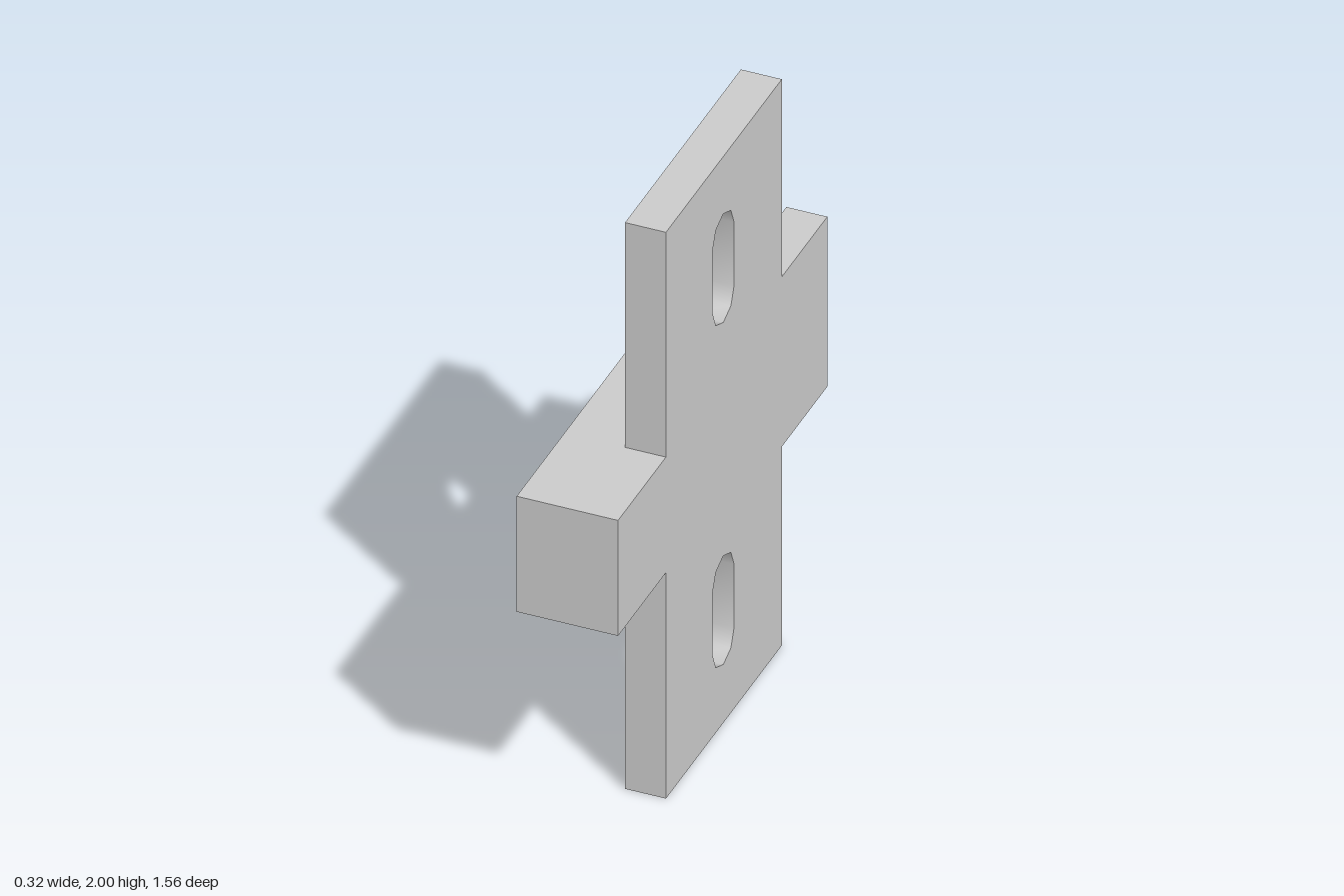
import * as THREE from 'three';
import { toCreasedNormals } from 'three/addons/utils/BufferGeometryUtils.js';

const material = new THREE.MeshStandardMaterial({ color: 0xcccccc });

// Upright slot with rounded ends, centred at (u, v)
function slot(u, v, radius, halfStraight) {
  const path = new THREE.Path();
  path.absarc(u, v + halfStraight, radius, 0, Math.PI);
  path.absarc(u, v - halfStraight, radius, Math.PI, Math.PI * 2);
  path.closePath();
  return path;
}

export function createModel() {
  const model = new THREE.Group();
  model.name = 'slottedBracket';

  const back = 0.03, face = 0.16; // plate thickness along x
  const end = 0.782;              // half length of the bar along z

  // Plate outline in the side plane (u = -z, v = y), with a narrow front tab and a taller rear tab
  const outline = new THREE.Shape([
    [-0.424, 0], [0.442, 0], [0.442, 0.702], [end, 0.702], [end, 1.302], [0.442, 1.302],
    [0.442, 2], [-0.424, 2], [-0.424, 1.206], [-end, 1.206], [-end, 0.798], [-0.424, 0.798],
  ].map(([u, v]) => new THREE.Vector2(u, v)));
  for (const v of [0.398, 1.606]) outline.holes.push(slot(0.005, v, 0.08, 0.112));

  const plateGeometry = new THREE.ExtrudeGeometry(outline, {
    depth: face - back, bevelEnabled: false, curveSegments: 2,
  });
  plateGeometry.rotateY(Math.PI / 2).translate(back, 0, 0);
  const plate = new THREE.Mesh(toCreasedNormals(plateGeometry, 0.9), material);
  plate.name = 'slottedPlate';
  model.add(plate);

  // Square bar running along the plate's inner side
  const bar = new THREE.Mesh(new THREE.BoxGeometry(back + 0.162, 0.408, end * 2), material);
  bar.name = 'crossBar';
  bar.position.set((back - 0.162) / 2, 1.002, 0);
  model.add(bar);

  return model;
}
